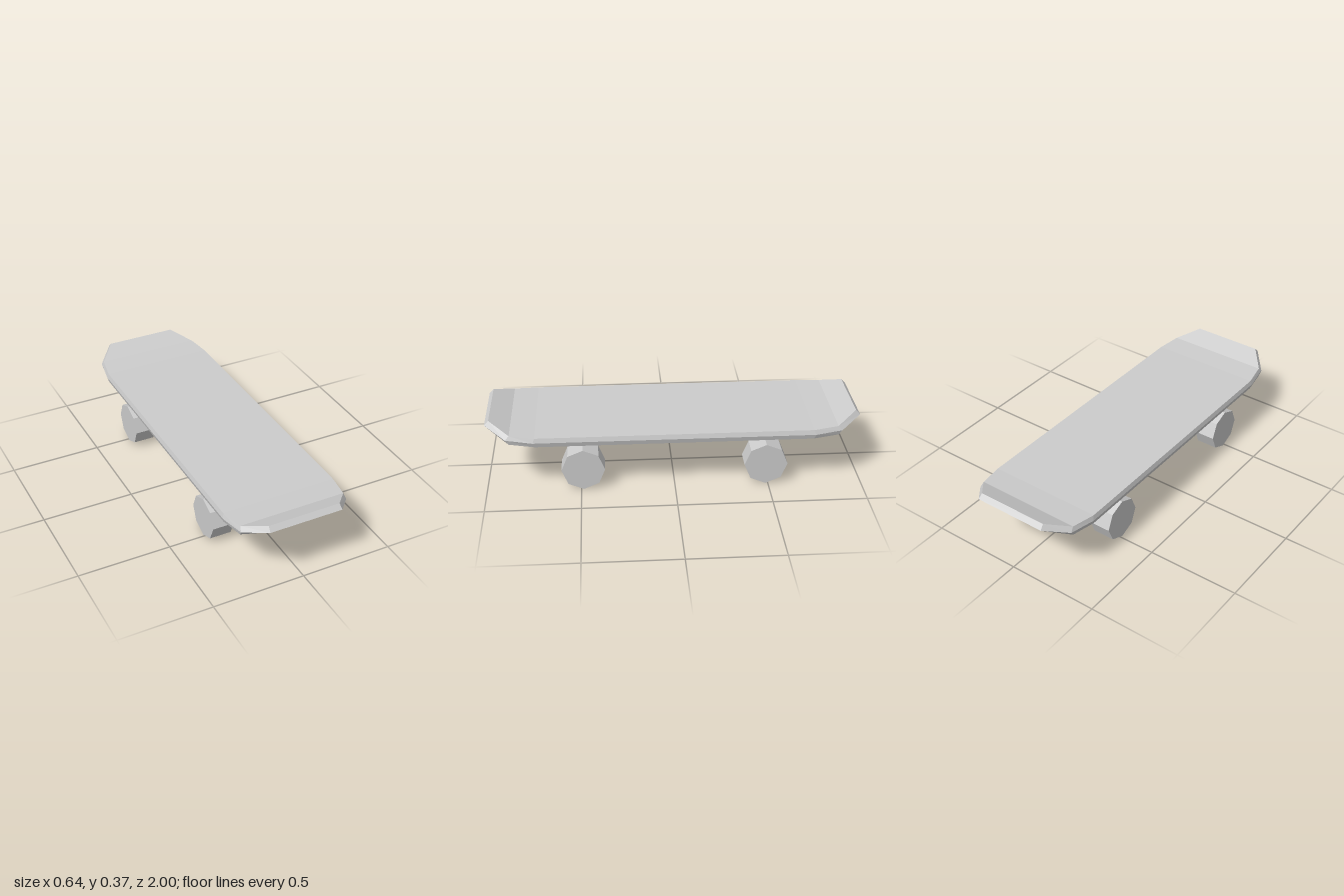
import * as THREE from 'three';

const material = new THREE.MeshStandardMaterial({ color: 0xcccccc, flatShading: true });

function addMesh(parent, name, geometry) {
  const mesh = new THREE.Mesh(geometry, material);
  mesh.name = name;
  parent.add(mesh);
  return mesh;
}

// Flat-sided skin through equal-length rings of points, closed at both ends
function loft(rings) {
  const positions = [];
  const triangle = (a, b, c) => {
    const [p, q, r] = [a, b, c].map((v) => new THREE.Vector3(...v));
    if (new THREE.Triangle(p, q, r).getArea() > 1e-8) positions.push(...a, ...b, ...c);
  };
  const n = rings[0].length;
  for (let i = 0; i < rings.length - 1; i++) {
    for (let j = 0; j < n; j++) {
      const k = (j + 1) % n;
      triangle(rings[i][j], rings[i][k], rings[i + 1][k]);
      triangle(rings[i][j], rings[i + 1][k], rings[i + 1][j]);
    }
  }
  const first = rings[0], last = rings[rings.length - 1];
  for (let j = 1; j < n - 1; j++) {
    triangle(first[0], first[j + 1], first[j]);
    triangle(last[0], last[j], last[j + 1]);
  }
  const geometry = new THREE.BufferGeometry();
  geometry.setAttribute('position', new THREE.Float32BufferAttribute(positions, 3));
  geometry.computeVertexNormals();
  return geometry;
}

// Deck stations from the flat middle to the upturned tip: bottom, rim and top as [x, y, z]
function deckGeometry() {
  const rimTip = [0.2, 0.345, 1];
  const stations = [
    [[0.313, 0.267, 0.735], [0.32, 0.292, 0.745], [0.313, 0.317, 0.735]],
    [[0.292, 0.276, 0.87], [0.296, 0.302, 0.888], [0.29, 0.325, 0.867]],
    [[0.197, 0.318, 0.96], rimTip, [0.196, 0.37, 0.977]],
    [rimTip, rimTip, rimTip],
  ];
  const section = ([bottom, rim, top], end) => {
    const at = ([x, y, z], side) => [x * side, y, z * end];
    return [at(bottom, -1), at(bottom, 1), at(rim, 1), at(top, 1), at(top, -1), at(rim, -1)];
  };
  return loft([
    ...stations.slice().reverse().map((s) => section(s, -1)),
    ...stations.map((s) => section(s, 1)),
  ]);
}

// Mount under the deck: straight block above, tapering down to the axle
function mountGeometry() {
  const ring = (w, d, y, yMid = y) => [
    [w, y, d], [w, yMid, 0], [w, y, -d], [-w, y, -d], [-w, yMid, 0], [-w, y, d],
  ];
  return loft([
    ring(0.08, 0.03, 0.148),
    ring(0.152, 0.075, 0.205, 0.235),
    ring(0.152, 0.075, 0.268),
  ]);
}

// Mount, axle and two wheels
function createTruck(name) {
  const truck = new THREE.Group();
  truck.name = name;
  addMesh(truck, 'mount', mountGeometry()).position.z = 0.507;

  const axle = addMesh(truck, 'axle', new THREE.CylinderGeometry(0.0425, 0.0425, 0.38, 8));
  axle.rotation.z = Math.PI / 2;
  axle.position.set(0, 0.1155, 0.487);

  for (const side of [1, -1]) {
    const wheel = addMesh(truck, side > 0 ? 'leftWheel' : 'rightWheel',
      new THREE.CylinderGeometry(0.1155, 0.1155, 0.118, 8));
    wheel.rotation.z = Math.PI / 2;
    wheel.position.set(side * 0.243, 0.1155, 0.487);
  }
  return truck;
}

export function createModel() {
  const model = new THREE.Group();
  model.name = 'skateboard';
  addMesh(model, 'deck', deckGeometry());

  const frontTruck = createTruck('frontTruck');
  const rearTruck = createTruck('rearTruck');
  rearTruck.rotation.y = Math.PI;
  model.add(frontTruck, rearTruck);
  return model;
}
